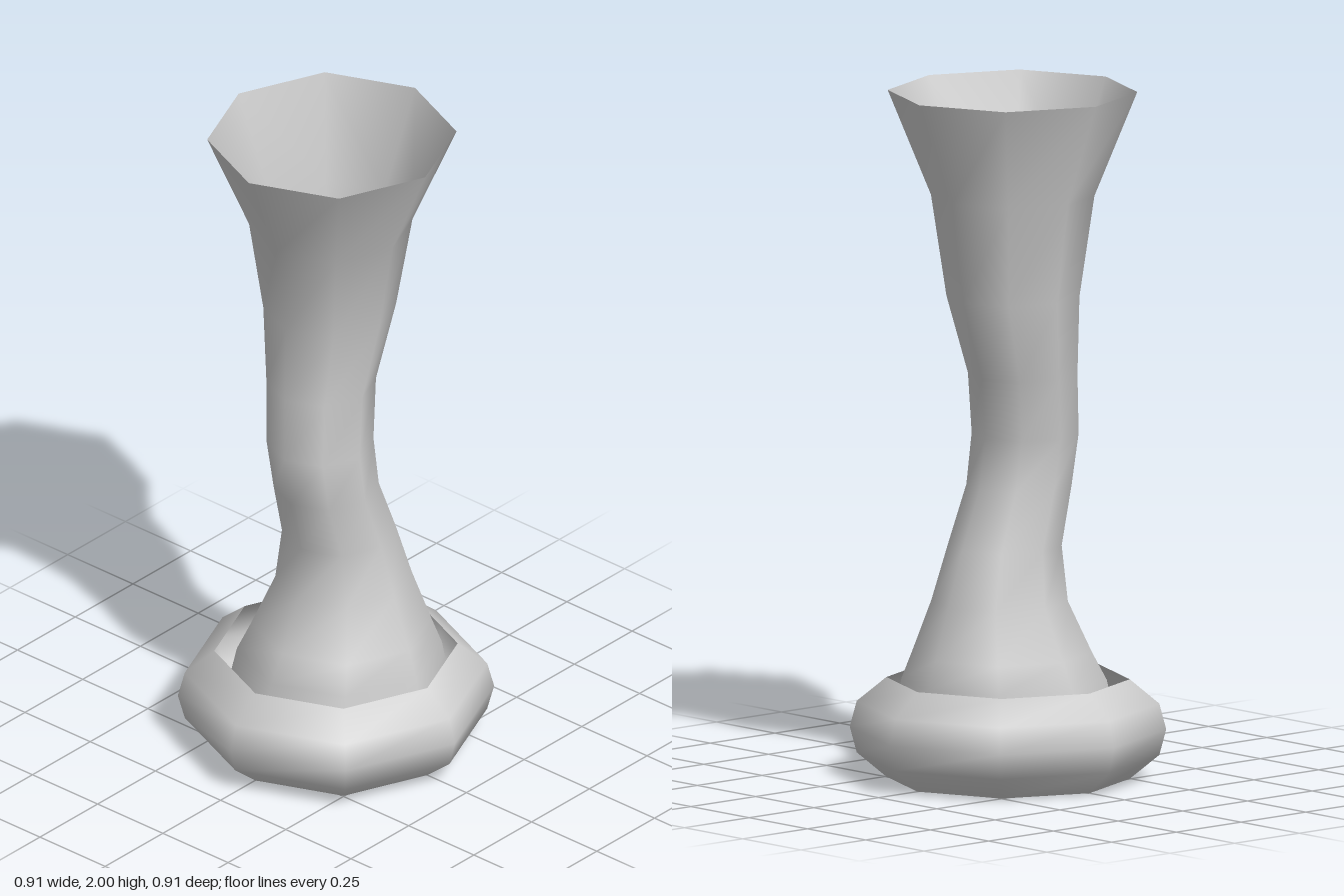
import * as THREE from 'three';

const SIDES = 8;

// Skins a stack of eight-sided rings: [y, xMin, xMax, zMin, zMax], bottom to top
function loft(rings) {
  const pos = [], index = [];
  for (const [y, x0, x1, z0, z1] of rings) {
    for (let j = 0; j < SIDES; j++) {
      const a = (j / SIDES) * Math.PI * 2;
      pos.push((x0 + x1) / 2 + Math.cos(a) * (x1 - x0) / 2, y,
        (z0 + z1) / 2 + Math.sin(a) * (z1 - z0) / 2);
    }
  }
  for (let i = 0; i < rings.length - 1; i++) {
    for (let j = 0; j < SIDES; j++) {
      const a = i * SIDES + j, b = i * SIDES + (j + 1) % SIDES;
      index.push(a, a + SIDES, b, b, a + SIDES, b + SIDES);
    }
  }
  const geo = new THREE.BufferGeometry();
  geo.setAttribute('position', new THREE.Float32BufferAttribute(pos, 3));
  geo.setIndex(index);
  geo.computeVertexNormals();
  return geo;
}

export function createModel() {
  const group = new THREE.Group();
  group.name = 'vase';
  const material = new THREE.MeshStandardMaterial({ color: 0xcccccc, side: THREE.DoubleSide });
  const add = (name, rings) => {
    const mesh = new THREE.Mesh(loft(rings), material);
    mesh.name = name;
    group.add(mesh);
  };

  // Wavering hollow stem with a flared mouth and foot
  add('stem', [
    [0.10, -0.325, 0.34, -0.335, 0.335],
    [0.29, -0.28, 0.31, -0.295, 0.295],
    [0.37, -0.235, 0.28, -0.26, 0.26],
    [0.52, -0.165, 0.23, -0.195, 0.195],
    [0.68, -0.15, 0.18, -0.165, 0.16],
    [0.85, -0.195, 0.11, -0.15, 0.15],
    [1.00, -0.21, 0.10, -0.165, 0.14],
    [1.18, -0.185, 0.13, -0.19, 0.125],
    [1.41, -0.18, 0.205, -0.225, 0.155],
    [1.70, -0.235, 0.235, -0.255, 0.215],
    [2.00, -0.375, 0.345, -0.36, 0.355],
  ]);

  // Bulging open collar around the foot
  const collar = [[0, 0.35], [0.07, 0.435], [0.145, 0.455], [0.22, 0.435], [0.29, 0.35]];
  add('baseCollar', collar.map(([y, r]) => [y, -r, r, -r, r]));

  return group;
}
